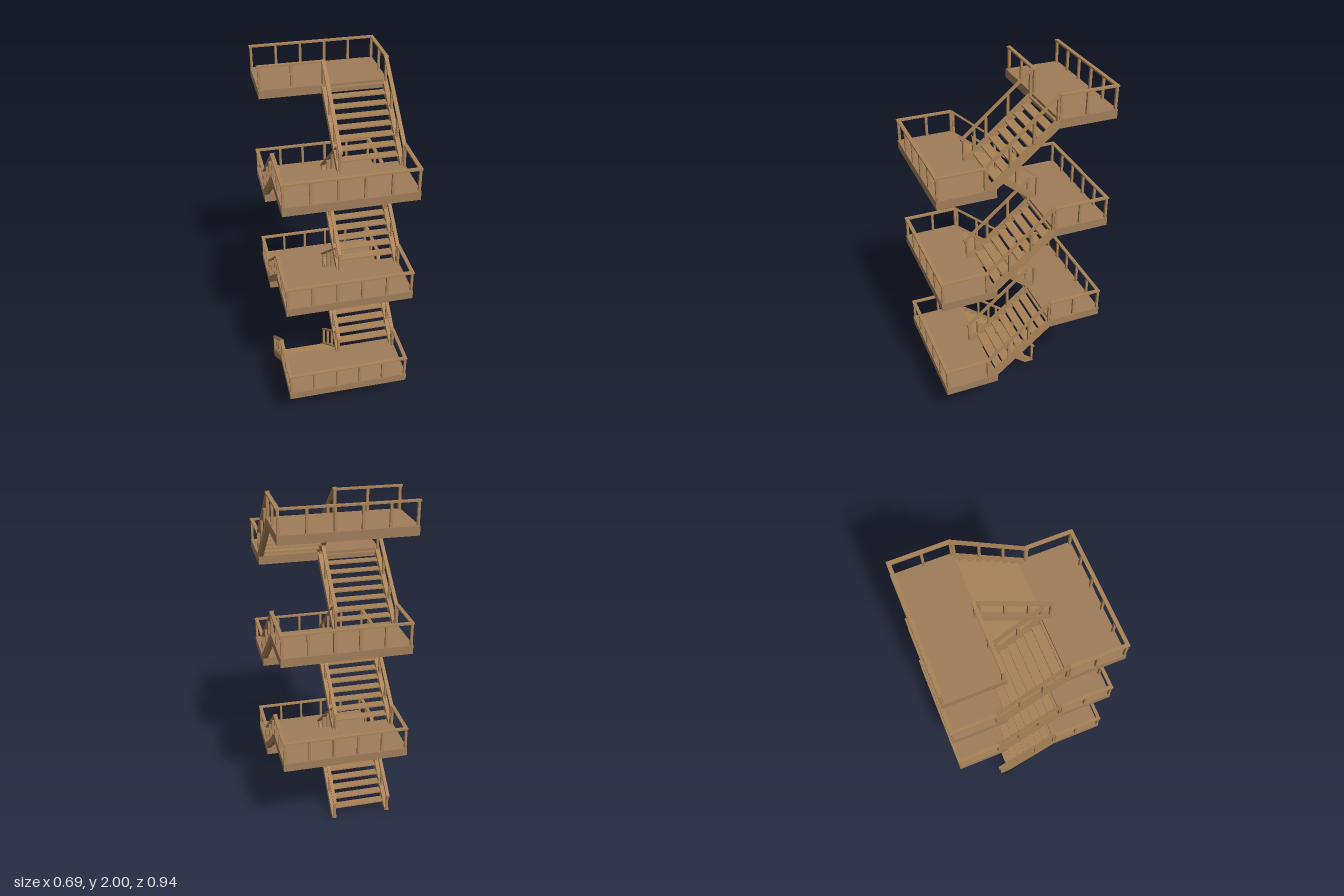
import * as THREE from 'three';

const LEVEL = 0.3125;       // rise of one flight
const RAIL = 0.125;         // handrail height
const SLOPE = LEVEL / 0.375;
const EDGE = 0.333;         // x of the outer rails
const deckMat = new THREE.MeshStandardMaterial({ color: 0xa07c5a });
const woodMat = new THREE.MeshStandardMaterial({ color: 0xa98258 });

// Box given by its minimum and maximum corners
function box(parent, name, min, max, mat = woodMat) {
  const size = max.map((v, i) => v - min[i]);
  const mesh = new THREE.Mesh(new THREE.BoxGeometry(...size), mat);
  mesh.position.set(...max.map((v, i) => (v + min[i]) / 2));
  mesh.name = name;
  parent.add(mesh);
}

// Outline in (z, y), extruded along x and centred on the given x
function prism(parent, name, outline, width, x) {
  const shape = new THREE.Shape(outline.map(([z, y]) => new THREE.Vector2(z, y)));
  const geo = new THREE.ExtrudeGeometry(shape, { depth: width, bevelEnabled: false });
  geo.translate(0, 0, -width / 2).rotateY(-Math.PI / 2);
  const mesh = new THREE.Mesh(geo, woodMat);
  mesh.position.x = x;
  mesh.name = name;
  parent.add(mesh);
}

function post(parent, x, z, y = 0) {
  const h = 0.0065;
  box(parent, 'railPost', [x - h, y, z - h], [x + h, y + RAIL - 0.004, z + h]);
}

// Level handrail between two points
function handrail(parent, x0, z0, x1, z1) {
  const h = 0.01;
  const alongX = z0 === z1;
  box(parent, 'handrail',
    [x0 - (alongX ? 0 : h), RAIL - 0.009, z0 - (alongX ? h : 0)],
    [x1 + (alongX ? 0 : h), RAIL, z1 + (alongX ? h : 0)]);
}

// One flight, rising towards +z on the -x side
function createFlight() {
  const g = new THREE.Group();
  g.name = 'stairFlight';
  const lineY = (z) => (z + 0.215) * SLOPE;
  for (const x of [-0.329, 0]) {
    prism(g, 'stringer', [[-0.215, 0], [-0.159, 0], [0.16, 0.266], [0.16, LEVEL]], 0.025, x);
    const a = lineY(-0.224) + RAIL, b = lineY(0.165) + RAIL;
    prism(g, 'slopedHandrail',
      [[-0.224, a - 0.011], [0.165, b - 0.011], [0.165, b], [-0.224, a]], 0.02, x);
    for (let i = 0; i < 4; i++) {
      const z = -0.209 + i * 0.1215;
      post(g, x, z, Math.max(0, lineY(z) - 0.006));
    }
  }
  // Open treads
  for (let k = 1; k <= 8; k++) {
    const z = -0.165 + (k - 1) * 0.0446, y = k * 0.0372;
    box(g, 'tread', [-0.317, y - 0.008, z], [-0.012, y, z + 0.049]);
  }
  return g;
}

// One landing on the +z side, with its top at y = 0
function createLanding(isTop) {
  const g = new THREE.Group();
  g.name = isTop ? 'topLanding' : 'landing';
  box(g, 'deck', [-0.342, -0.047, 0.16], [0.342, 0, 0.47], deckMat);
  // Long outer rail
  handrail(g, -0.343, 0.46, 0.343, 0.46);
  for (let i = 0; i < 6; i++) post(g, -EDGE + i * EDGE * 0.4, 0.46);
  // Side rail beside the arriving flight
  handrail(g, -EDGE, 0.16, -EDGE, 0.45);
  for (const z of [0.167, 0.307]) post(g, -EDGE, z);
  if (isTop) {
    // Inner rail closing the unused half; the end is left open
    handrail(g, -0.01, 0.177, 0.345, 0.177);
    for (const x of [0, 0.166, EDGE]) post(g, x, 0.177);
  } else {
    // Side rail meeting the departing flight
    handrail(g, EDGE, 0.212, EDGE, 0.45);
    post(g, EDGE, 0.217);
  }
  return g;
}

export function createModel() {
  const model = new THREE.Group();
  model.name = 'switchbackStaircase';
  for (let i = 0; i < 6; i++) {
    const storey = new THREE.Group();
    storey.name = 'storey';
    const landing = createLanding(i === 5);
    landing.position.y = LEVEL;
    storey.add(createFlight(), landing);
    storey.position.y = i * LEVEL;
    storey.rotation.y = i % 2 ? Math.PI : 0;
    model.add(storey);
  }
  return model;
}
